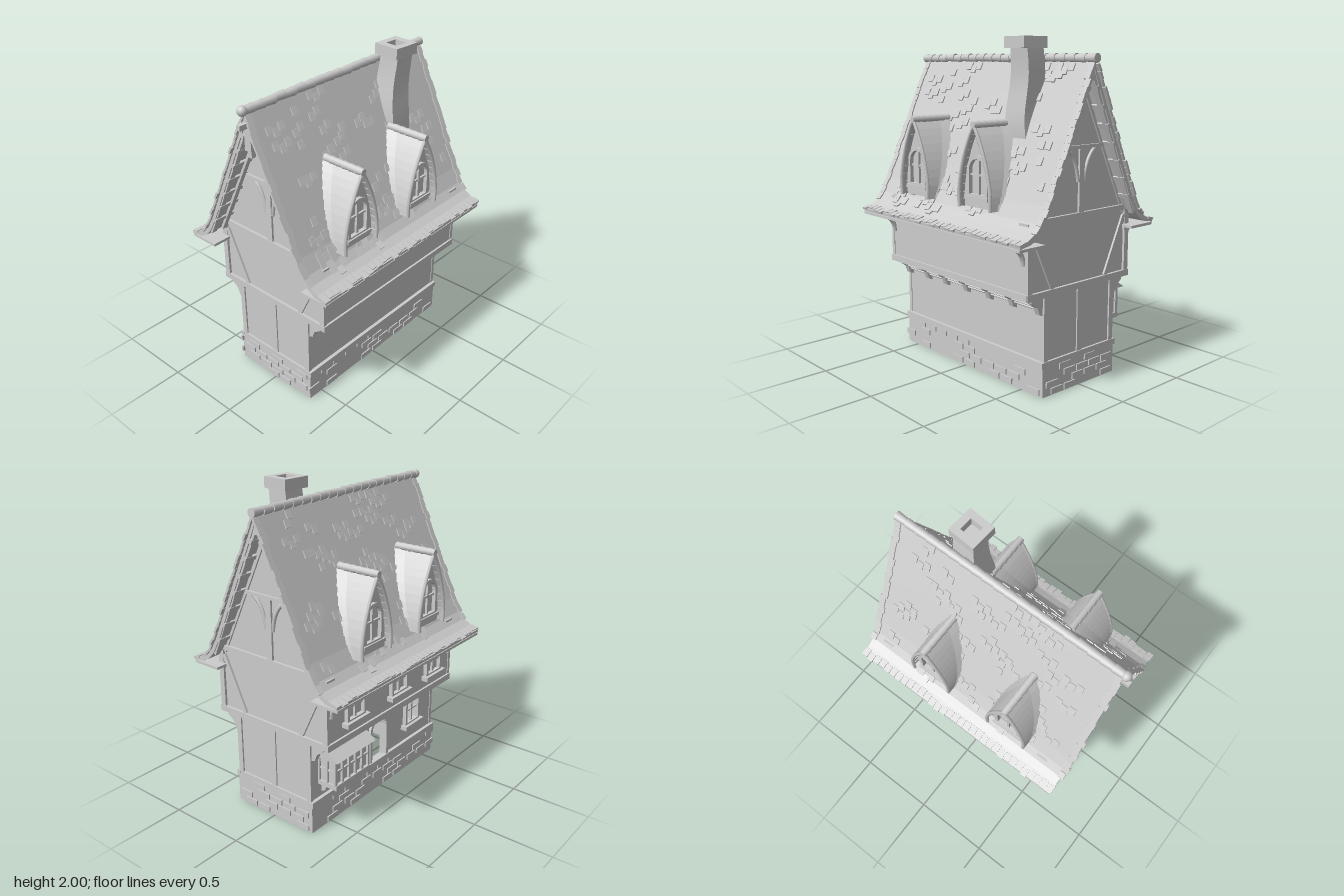
import * as THREE from 'three';
import { mergeGeometries } from 'three/addons/utils/BufferGeometryUtils.js';

const clay = new THREE.MeshStandardMaterial({ color: 0xcccccc, side: THREE.DoubleSide });
clay.name = 'grey clay';

let seed = 7;
const rnd = () => (seed = (seed * 16807) % 2147483647) / 2147483647;
const range = (n) => [...Array(n).keys()];

function add(parent, name, geo, x = 0, y = 0, z = 0) {
  const m = new THREE.Mesh(geo, clay);
  m.name = name;
  m.position.set(x, y, z);
  parent.add(m);
  return m;
}
// box given by its min and max corners
function box(p, name, x0, x1, y0, y1, z0, z1) {
  return add(p, name, new THREE.BoxGeometry(x1 - x0, y1 - y0, z1 - z0), (x0 + x1) / 2, (y0 + y1) / 2, (z0 + z1) / 2);
}
// timber lying in an xy plane from a to b
function timber(p, name, a, b, w, z, d) {
  const dx = b[0] - a[0], dy = b[1] - a[1];
  const m = add(p, name, new THREE.BoxGeometry(Math.hypot(dx, dy), w, d), (a[0] + b[0]) / 2, (a[1] + b[1]) / 2, z);
  m.rotation.z = Math.atan2(dy, dx);
  return m;
}
const poly = (pts) => new THREE.Shape(pts.map((q) => new THREE.Vector2(...q)));
const rect = (x0, x1, y0, y1) => [[x0, y0], [x1, y0], [x1, y1], [x0, y1]];
const extrude = (shape, depth) => new THREE.ExtrudeGeometry(shape, { depth, bevelEnabled: false });
// round-headed outline
const arch = (w, y0, y1) => [[-w, y0], [w, y0], ...range(11).map((i) => [w * Math.cos(i * Math.PI / 10), y1 + w * Math.sin(i * Math.PI / 10)])];

// right half of the roof section, ridge to eave
const SLOPE = [[0, 1.875], [0.2, 1.44], [0.35, 1.11], [0.4, 1.02], [0.44, 0.975], [0.49, 0.945], [0.55, 0.925]];
function onSlope(y) {
  const i = Math.max(1, SLOPE.findIndex((q) => q[1] <= y));
  const [a, b] = [SLOPE[i - 1], SLOPE[i]];
  const t = (a[1] - y) / (a[1] - b[1]);
  return { x: a[0] + (b[0] - a[0]) * t, angle: Math.atan2(b[1] - a[1], b[0] - a[0]) };
}

function buildRoof(g) {
  const under = SLOPE.map(([x, y]) => [Math.max(0, x - 0.022), y - 0.022]);
  under[0] = [0, 1.82];
  under[under.length - 1] = [0.548, 0.908];
  const flip = (l) => l.map(([x, y]) => [-x, y]);
  const outline = [...SLOPE, ...under.slice(1).reverse(), under[0], ...flip(under.slice(1)), ...flip(SLOPE.slice(1)).reverse()];
  add(g, 'roof', extrude(poly(outline), 1.47), 0, 0, -0.745);

  // raised tiles: ragged verges plus scattered groups
  const tiles = [];
  const tile = (s, y, z, w) => {
    const { x, angle } = onSlope(y);
    tiles.push(new THREE.BoxGeometry(0.048, 0.014, w).rotateZ(angle + 0.05).translate(x, y, 0).rotateY(s < 0 ? Math.PI : 0).translate(0, 0, z));
  };
  for (const s of [1, -1]) {
    for (const r of range(21)) {
      const y = 1.83 - r * 0.042;
      tile(s, y, 0.715 + rnd() * 0.015, 0.04);
      tile(s, y, -0.735 - rnd() * 0.015, 0.04);
      for (const k of range(3)) {
        const z = -0.66 + rnd() * 1.2;
        for (const j of range(1 + Math.floor(rnd() * 3))) tile(s, y - (j % 2) * 0.02, z + j * 0.045, 0.042);
      }
    }
    for (const i of range(33)) tile(s, 0.936 - rnd() * 0.008, -0.73 + i * 0.045, 0.04);
  }
  add(g, 'roofTiles', mergeGeometries(tiles));

  for (const i of range(20)) {
    const c = add(g, 'ridgeTile', new THREE.CylinderGeometry(0.022, 0.027, 0.08, 10), 0, 1.878 + rnd() * 0.005, -0.725 + i * 0.0755);
    c.rotation.x = Math.PI / 2;
  }
  // bargeboards with batten ends at both gables
  for (const [z, out] of [[0.7, 1], [-0.72, -1]]) for (const s of [1, -1]) {
    timber(g, 'bargeboard', [0, 1.81], [s * 0.385, 0.985], 0.028, z, 0.035);
    timber(g, 'innerRafter', [0, 1.75], [s * 0.37, 0.98], 0.016, z - out * 0.07, 0.03);
    for (const i of range(7)) {
      const t = 0.1 + i * 0.13;
      const b = add(g, 'batten', new THREE.BoxGeometry(0.028, 0.022, 0.14), s * 0.375 * t, 1.8 - 0.81 * t, z - out * 0.045);
      b.rotation.z = -s * 1.13;
    }
  }
  // finial and pendant
  add(g, 'finialBall', new THREE.SphereGeometry(0.03, 12, 8), 0, 1.88, 0.745);
  box(g, 'pendant', -0.024, 0.024, 1.64, 1.82, 0.67, 0.72);
  box(g, 'pendantTip', -0.015, 0.015, 1.6, 1.64, 0.68, 0.71);
  box(g, 'ridgeBeamNose', -0.014, 0.014, 1.78, 1.81, 0.55, 0.78);
  box(g, 'backRidgeBeam', -0.02, 0.02, 1.76, 1.82, -0.74, -0.6);
}

// local frame: +z points away from the ridge
function buildDormer(g, s, z) {
  const d = new THREE.Group();
  d.name = 'dormer';
  d.rotation.y = s * Math.PI / 2;
  d.position.z = z;
  g.add(d);
  const edge = new THREE.CatmullRomCurve3([[0.135, 1.04], [0.137, 1.13], [0.118, 1.24], [0.083, 1.35], [0.037, 1.45], [0, 1.515]].map(([x, y]) => new THREE.Vector3(x, y, 0.44)));
  const pts = edge.getPoints(11);
  for (const m of [1, -1]) {
    // shingled cheeks, sweeping out where they meet the roof
    const pos = [], idx = [];
    const course = [];
    pts.forEach((q, i) => { if (i) course.push([q.x, q.y]); course.push([q.x + (i < 11 ? 0.007 : 0), q.y]); });
    course.forEach(([w, y]) => {
      const back = onSlope(y).x - 0.015;
      pos.push(m * w, y, 0.45, m * w, y, back + (0.45 - back) * 0.3, m * (w + 0.012), y, back);
    });
    for (let i = 0; i < course.length - 1; i++) for (const k of [0, 1]) {
      const a = i * 3 + k;
      idx.push(...(m > 0 ? [a, a + 1, a + 3, a + 1, a + 4, a + 3] : [a, a + 3, a + 1, a + 1, a + 3, a + 4]));
    }
    const geo = new THREE.BufferGeometry();
    geo.setAttribute('position', new THREE.Float32BufferAttribute(pos, 3));
    geo.setIndex(idx);
    const flat = geo.toNonIndexed();
    flat.computeVertexNormals();
    add(d, 'dormerRoof', flat);
    const rim = new THREE.CatmullRomCurve3(pts.map((q) => new THREE.Vector3(m * (q.x - 0.002), q.y, 0.445)));
    add(d, 'dormerBargeboard', new THREE.TubeGeometry(rim, 16, 0.011, 6));
  }
  const outline = [...pts.map((q) => [q.x, q.y]), ...pts.slice(0, -1).reverse().map((q) => [-q.x, q.y])];
  add(d, 'dormerFront', extrude(poly(outline), 0.06), 0, 0, 0.34);
  const frame = poly(arch(0.088, 1.1, 1.255));
  frame.holes.push(poly(arch(0.068, 1.12, 1.255)));
  add(d, 'dormerWindowFrame', extrude(frame, 0.025), 0, 0, 0.4);
  box(d, 'mullion', -0.007, 0.007, 1.12, 1.32, 0.4, 0.415);
  box(d, 'transom', -0.07, 0.07, 1.225, 1.237, 0.4, 0.413);
  box(d, 'dormerSill', -0.1, 0.1, 1.09, 1.11, 0.4, 0.435);
  for (const i of range(6)) {
    const c = add(d, 'dormerRidgeTile', new THREE.CylinderGeometry(0.02, 0.025, 0.05, 10), 0, 1.515, 0.2 + i * 0.046);
    c.rotation.x = Math.PI / 2;
  }
}

// rectangular casement on the right-hand wall, x = outer wall face
function casement(g, x, z, y0, y1, w) {
  const frame = poly(rect(-w, w, y0, y1));
  frame.holes.push(poly(rect(-w + 0.018, w - 0.018, y0 + 0.018, y1 - 0.018)));
  add(g, 'windowFrame', extrude(frame, 0.035), x + 0.01, 0, z).rotation.y = -Math.PI / 2;
  box(g, 'windowMullion', x - 0.015, x, y0, y1, z - 0.007, z + 0.007);
  box(g, 'windowTransom', x - 0.012, x, (y0 + y1) / 2 - 0.005, (y0 + y1) / 2 + 0.005, z - w, z + w);
  box(g, 'windowSill', x - 0.045, x, y0 - 0.02, y0 + 0.008, z - w - 0.02, z + w + 0.02);
}

function buildWalls(g) {
  // stone footing, open underneath
  for (const s of [1, -1]) box(g, 'footing', s > 0 ? 0.24 : -0.3, s > 0 ? 0.3 : -0.24, 0, 0.185, -0.67, 0.6);
  for (const [a, b] of [[0.54, 0.6], [-0.67, -0.61]]) box(g, 'footing', -0.24, 0.24, 0, 0.185, a, b);
  const bricks = [];
  for (const r of range(4)) for (const s of [1, -1]) {
    for (const i of range(11)) if (rnd() < 0.55) bricks.push(new THREE.BoxGeometry(0.016, 0.036, 0.09).translate(s * 0.3, 0.025 + r * 0.044, -0.6 + i * 0.112 + (r % 2) * 0.05));
    for (const i of range(5)) if (rnd() < 0.6) bricks.push(new THREE.BoxGeometry(0.09, 0.036, 0.016).translate(-0.23 + i * 0.105 + (r % 2) * 0.04, 0.025 + r * 0.044, s > 0 ? 0.6 : -0.67));
  }
  add(g, 'bricks', mergeGeometries(bricks));

  // ground storey: right-hand wall has a doorway and a window
  box(g, 'leftWall', 0.25, 0.288, 0.185, 0.6, -0.66, 0.59);
  for (const [a, b] of [[0.55, 0.59], [-0.66, -0.62]]) box(g, 'endWall', -0.25, 0.25, 0.185, 0.6, a, b);
  const wall = poly(rect(-0.66, 0.59, 0.185, 0.6));
  wall.holes.push(poly(arch(0.075, 0.2, 0.42).map(([x, y]) => [x - 0.02, y])), poly(rect(0.27, 0.41, 0.32, 0.52)));
  add(g, 'rightWall', extrude(wall, 0.038), -0.25, 0, 0).rotation.y = -Math.PI / 2;
  const door = poly(arch(0.095, 0.19, 0.42));
  door.holes.push(poly(arch(0.075, 0.2, 0.42)));
  add(g, 'doorFrame', extrude(door, 0.03), -0.275, 0, -0.02).rotation.y = -Math.PI / 2;
  casement(g, -0.288, 0.34, 0.32, 0.52, 0.08);

  // upper storey and gables in one solid
  add(g, 'upperStorey', extrude(poly([[-0.415, 0.585], [0.415, 0.585], [0.415, 0.95], [0.365, 1.03], [0, 1.82], [-0.365, 1.03], [-0.415, 0.95]]), 1.24), 0, 0, -0.655);
  for (const z of [-0.43, 0, 0.375]) casement(g, -0.415, z, 0.7, 0.87, 0.085);

  // framing on both gable ends
  for (const z of [0.588, -0.658]) {
    box(g, 'sillBeam', -0.31, 0.31, 0.172, 0.208, z - 0.015, z + 0.015);
    box(g, 'jettyBeam', -0.425, 0.425, 0.582, 0.62, z - 0.014, z + 0.014);
    box(g, 'tieBeam', -0.39, 0.39, 0.995, 1.025, z - 0.014, z + 0.014);
    box(g, 'collarBeam', -0.2, 0.2, 1.385, 1.405, z - 0.012, z + 0.012);
    box(g, 'kingPost', -0.02, 0.02, 1.02, 1.39, z - 0.01, z + 0.01);
    box(g, 'middlePost', -0.02, 0.02, 0.2, 0.59, z - 0.01, z + 0.01);
    for (const s of [1, -1]) {
      timber(g, 'cornerPost', [s * 0.275, 0.2], [s * 0.275, 0.59], 0.035, z, 0.024);
      timber(g, 'upperPost', [s * 0.402, 0.6], [s * 0.402, 0.93], 0.035, z, 0.024);
      timber(g, 'diagonalBrace', [s * 0.38, 0.96], [s * 0.22, 0.62], 0.03, z, 0.02);
      const brace = new THREE.QuadraticBezierCurve3(new THREE.Vector3(s * 0.025, 1.2, z), new THREE.Vector3(s * 0.04, 1.34, z), new THREE.Vector3(s * 0.12, 1.388, z));
      add(g, 'archBrace', new THREE.TubeGeometry(brace, 10, 0.012, 6));
    }
  }

  for (const s of [1, -1]) {
    timber(g, 'sideSill', [s * 0.28, 0.19], [s * 0.31, 0.19], 0.036, -0.035, 1.28);
    timber(g, 'sideJettyBeam', [s * 0.4, 0.602], [s * 0.428, 0.602], 0.04, -0.035, 1.26);
    timber(g, 'eavePlate', [s * 0.36, 0.897], [s * 0.55, 0.897], 0.016, -0.01, 1.46);
    // boarded cove and curved brackets below the overhang
    for (const i of range(4)) timber(g, 'coveBoard', [s * (0.285 + i * 0.02), 0.505 + i * 0.021], [s * (0.312 + i * 0.02), 0.52 + i * 0.021], 0.016, -0.035, 1.23);
    const bracket = poly([[0.285, 0.475], [0.315, 0.485], [0.332, 0.53], [0.375, 0.56], [0.385, 0.59], [0.285, 0.59]].map(([x, y]) => [s * x, y]));
    for (const z of [0.57, 0.365, 0.18, -0.02, -0.23, -0.43, -0.64]) {
      if (s > 0 || z > 0.1 || z < -0.6) add(g, 'jettyBracket', extrude(bracket, 0.036), 0, 0, z - 0.018);
    }
    for (const z of [0.565, -0.635]) {
      const curve = new THREE.QuadraticBezierCurve3(new THREE.Vector3(s * 0.42, 0.78, z), new THREE.Vector3(s * 0.425, 0.865, z), new THREE.Vector3(s * 0.5, 0.888, z));
      add(g, 'eaveBracket', new THREE.TubeGeometry(curve, 8, 0.014, 6));
      box(g, 'eavePost', s * 0.4 - 0.02, s * 0.4 + 0.02, 0.87, 1.01, z - 0.035, z + 0.035);
    }
    for (const z of [0.17, -0.23]) timber(g, 'rafterEnd', [s * 0.41, 0.888], [s * 0.48, 0.888], 0.025, z, 0.04);
  }
}

// oriel on the right-hand wall
function buildBay(g) {
  const [z0, z1] = [-0.6, -0.28];
  box(g, 'bayBody', -0.405, -0.28, 0.31, 0.5, z0 + 0.012, z1 - 0.012);
  box(g, 'bayBase', -0.425, -0.28, 0.3, 0.33, z0, z1);
  box(g, 'bayHead', -0.42, -0.28, 0.475, 0.5, z0, z1);
  add(g, 'bayRoof', extrude(poly([[-0.45, 0.495], [-0.28, 0.495], [-0.28, 0.585], [-0.34, 0.565]]), z1 - z0 + 0.04), 0, 0, z0 - 0.02);
  for (const i of range(6)) box(g, 'bayMullion', -0.42, -0.4, 0.32, 0.48, z0 + i * 0.061, z0 + i * 0.061 + 0.015);
  for (const x of [-0.36, -0.3]) for (const z of [z0, z1 - 0.013]) box(g, 'bayEndMullion', x, x + 0.013, 0.32, 0.48, z, z + 0.013);
  box(g, 'bayTransom', -0.416, -0.29, 0.405, 0.417, z0 + 0.005, z1 - 0.005);
  for (const z of [z0 + 0.03, z1 - 0.07]) add(g, 'bayBracket', extrude(poly([[-0.28, 0.23], [-0.315, 0.25], [-0.33, 0.285], [-0.38, 0.305], [-0.28, 0.305]]), 0.04), 0, 0, z);
}

function buildChimney(g) {
  // slightly crooked shaft lofted through square rings
  const shaft = new THREE.BoxGeometry(0.14, 0.56, 0.15, 1, 8, 1);
  const p = shaft.attributes.position;
  for (const i of range(p.count)) {
    const t = p.getY(i) / 0.56 + 0.5;
    p.setX(i, p.getX(i) * (1 - 0.1 * t) + 0.01 * Math.sin(t * 7));
    p.setZ(i, p.getZ(i) * (1.12 - 0.2 * t) + 0.012 * Math.sin(t * 5));
  }
  shaft.computeVertexNormals();
  add(g, 'chimneyShaft', shaft, 0.128, 1.66, -0.345);
  const cap = poly(rect(-0.085, 0.085, -0.088, 0.088));
  cap.holes.push(poly(rect(-0.042, 0.042, -0.042, 0.042)));
  const m = add(g, 'chimneyCap', extrude(cap, 0.065), 0.135, 1.935, -0.348);
  m.rotation.set(-Math.PI / 2, 0, -0.07);
}

export function createModel() {
  seed = 7;
  const g = new THREE.Group();
  g.name = 'timberHouse';
  buildWalls(g);
  buildBay(g);
  buildRoof(g);
  buildChimney(g);
  for (const s of [1, -1]) for (const z of [0.31, -0.258]) buildDormer(g, s, z);
  return g;
}
